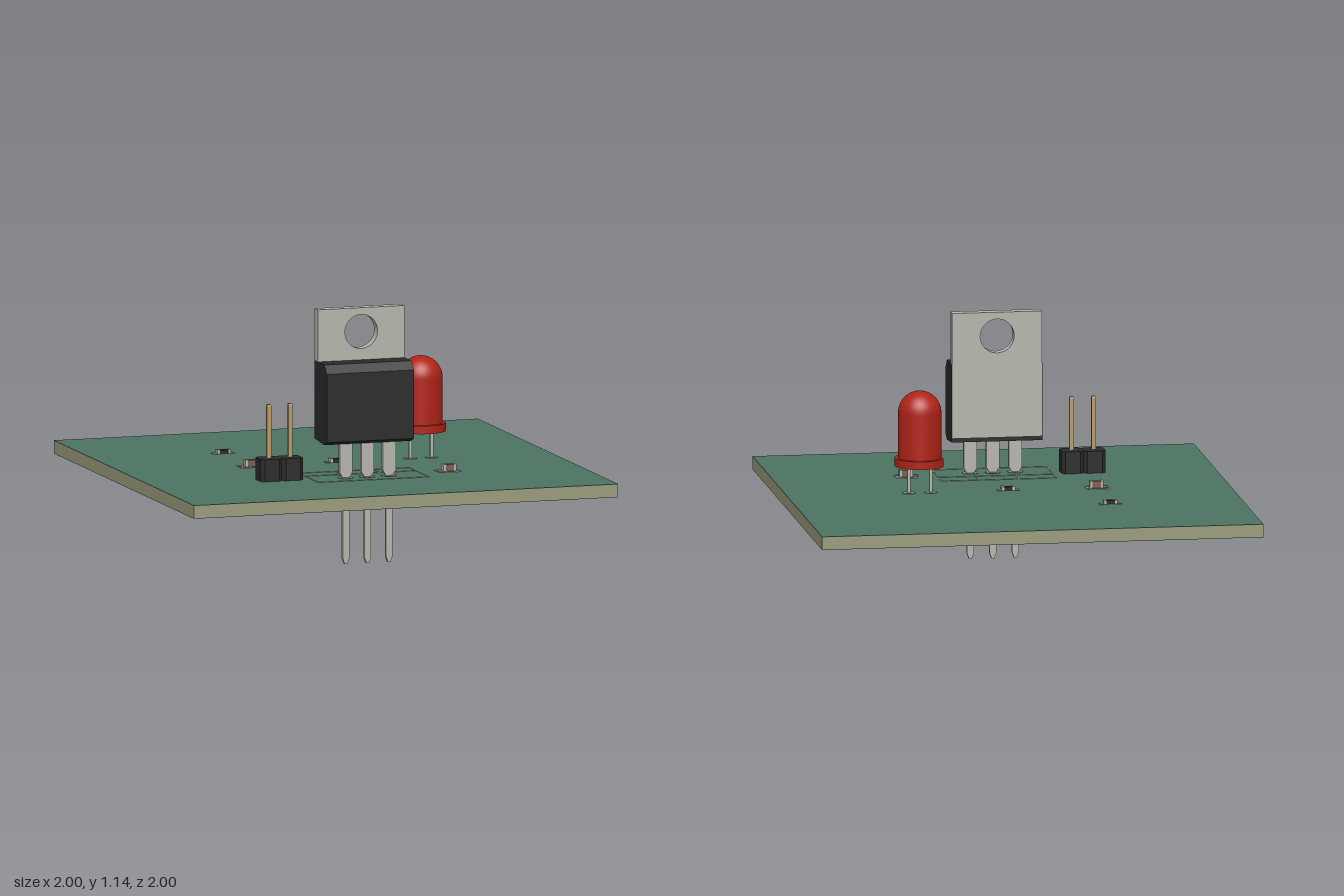
import * as THREE from 'three';

const mat = (color) => new THREE.MeshStandardMaterial({ color });
const M = {
  mask: mat(0x4c7462), core: mat(0x9c9b7c), black: mat(0x2b2b2c), metal: mat(0xb6b6ae),
  gold: mat(0xb99a63), red: mat(0xb02318), silk: mat(0xc4cbc4), pad: mat(0x8d938c), brown: mat(0x7a6252),
};
const TOP = 0.39, BOTTOM = 0.33;

function add(parent, name, geometry, material, x = 0, y = 0, z = 0) {
  const mesh = new THREE.Mesh(geometry, material);
  mesh.name = name;
  mesh.position.set(x, y, z);
  parent.add(mesh);
  return mesh;
}

function group(parent, name, x = 0, z = 0) {
  const g = new THREE.Group();
  g.name = name;
  g.position.set(x, 0, z);
  parent.add(g);
  return g;
}

const box = (w, h, d) => new THREE.BoxGeometry(w, h, d);
const shapeOf = (pts) => new THREE.Shape(pts.map(([x, y]) => new THREE.Vector2(x, y)));
const extrude = (shape, depth) => new THREE.ExtrudeGeometry(shape, { depth, bevelEnabled: false, curveSegments: 24 });

// Printed line on the board between two points
function silkLine(parent, x1, z1, x2, z2) {
  const w = 0.005;
  add(parent, 'silkLine', box(Math.abs(x2 - x1) + w, 0.002, Math.abs(z2 - z1) + w), M.silk,
    (x1 + x2) / 2, TOP + 0.001, (z1 + z2) / 2);
}

function silkRect(parent, x1, z1, x2, z2) {
  for (const z of [z1, z2]) silkLine(parent, x1, z, x2, z);
  for (const x of [x1, x2]) silkLine(parent, x, z1, x, z2);
}

// Round solder pads on both faces of the board
function holePads(parent, x, z, r) {
  for (const y of [TOP + 0.001, BOTTOM - 0.001])
    add(parent, 'solderPad', new THREE.CylinderGeometry(r, r, 0.003, 24), M.pad, x, y, z);
}

function addBoard(parent) {
  const g = group(parent, 'board');
  add(g, 'boardCore', box(2, 0.056, 2), M.core, 0, 0.36, 0);
  add(g, 'topMask', box(2, 0.002, 2), M.mask, 0, TOP - 0.001, 0);
  add(g, 'bottomMask', box(2, 0.002, 2), M.mask, 0, BOTTOM + 0.001, 0);
}

function addRegulator(parent) {
  const g = group(parent, 'regulator');
  // Moulded body: side profile in (z, y), extruded along x
  const profile = shapeOf([[0.313, 0.555], [0.45, 0.543], [0.49, 0.56], [0.49, 0.87], [0.455, 0.907], [0.313, 0.907]]);
  const body = add(g, 'regulatorBody', extrude(profile, 0.41), M.black, 0.205, 0, 0);
  body.geometry.rotateY(-Math.PI / 2);
  // Metal tab with its mounting hole
  const tab = shapeOf([[-0.204, 0.575], [0.204, 0.575], [0.204, 1.143], [-0.204, 1.143]]);
  tab.holes.push(new THREE.Path().absarc(0, 1.035, 0.077, 0, Math.PI * 2, true));
  add(g, 'regulatorTab', extrude(tab, 0.049), M.metal, 0, 0, 0.311);
  // Legs: broad shoulder, narrow pin, pointed tip
  const half = [[0.006, 0], [0.015, 0.025], [0.015, 0.39], [0.03, 0.415], [0.03, 0.55]];
  const leg = shapeOf([...half, ...half.map(([x, y]) => [-x, y]).reverse()]);
  for (const x of [-0.102, 0, 0.102]) {
    add(g, 'regulatorLeg', extrude(leg, 0.02), M.metal, x, 0, 0.433);
    holePads(g, x, 0.443, 0.036);
  }
  silkRect(g, -0.26, 0.26, 0.26, 0.54);
  silkLine(g, -0.26, 0.353, 0.26, 0.353);
  for (const x of [-0.09, 0.09]) silkLine(g, x, 0.26, x, 0.353);
}

function addLed(parent) {
  const g = group(parent, 'led', 0.4, 0);
  // Rounded lens
  const pts = [new THREE.Vector2(0.097, 0.54), new THREE.Vector2(0.097, 0.757)];
  for (let i = 1; i <= 12; i++) {
    const a = (i / 12) * Math.PI / 2;
    pts.push(new THREE.Vector2(i === 12 ? 0 : 0.097 * Math.cos(a), 0.757 + 0.097 * Math.sin(a)));
  }
  add(g, 'ledLens', new THREE.LatheGeometry(pts, 40), M.red);
  // Flange with one flat side
  const a = Math.acos(0.099 / 0.113);
  const flange = new THREE.Shape().absarc(0, 0, 0.113, -Math.PI + a, Math.PI - a, false);
  const rim = extrude(flange, 0.037);
  rim.rotateX(-Math.PI / 2);
  add(g, 'ledFlange', rim, M.red, 0, 0.514, 0);
  for (const x of [-0.05, 0.05]) {
    add(g, 'ledLeg', box(0.014, 0.225, 0.014), M.metal, x, 0.4075, 0);
    holePads(g, x, 0, 0.03);
  }
}

function addHeader(parent) {
  const g = group(parent, 'pinHeader', -0.4, 0.4);
  const c = 0.016, h = 0.05;
  const octagon = shapeOf([[-h, -h + c], [-h + c, -h], [h - c, -h], [h, -h + c],
    [h, h - c], [h - c, h], [-h + c, h], [-h, h - c]]);
  for (const x of [-0.05, 0.05]) {
    const block = extrude(octagon, 0.1);
    block.rotateX(-Math.PI / 2);
    add(g, 'headerBlock', block, M.black, x, TOP, 0);
    // Square pin with tapered ends
    const s = 0.0141, t = Math.PI / 4;
    const pin = new THREE.LatheGeometry([[0, 0.277], [0.01, 0.277], [s, 0.285], [s, 0.725], [0.01, 0.733], [0, 0.733]]
      .map(([r, y]) => new THREE.Vector2(r, y)), 4, t).toNonIndexed();
    pin.computeVertexNormals();
    add(g, 'headerPin', pin, M.gold, x, 0, 0);
    holePads(g, x, 0, 0.034);
  }
}

// Small surface-mounted chip with metal end caps and board pads
function addChip(parent, name, x, z, color, height) {
  const g = group(parent, name, x, z);
  add(g, 'chipBody', box(0.04, height - 0.002, 0.03), color, 0, TOP + height / 2, 0);
  for (const s of [-1, 1]) {
    add(g, 'chipCap', box(0.012, height, 0.032), M.metal, s * 0.025, TOP + height / 2 + 0.001, 0);
    add(g, 'chipPad', box(0.026, 0.003, 0.036), M.pad, s * 0.037, TOP + 0.001, 0);
  }
  return g;
}

export function createModel() {
  const model = new THREE.Group();
  model.name = 'circuitBoard';
  addBoard(model);
  addRegulator(model);
  addLed(model);
  addHeader(model);
  addChip(model, 'resistorBack', -0.4, -0.4, M.black, 0.018);
  addChip(model, 'resistorMiddle', 0, 0, M.black, 0.018);
  for (const [x, z] of [[-0.4, 0], [0.4, 0.4]]) {
    const g = addChip(model, 'capacitor', x, z, M.brown, 0.032);
    silkRect(g, -0.057, -0.035, 0.045, 0.035);
  }
  return model;
}
